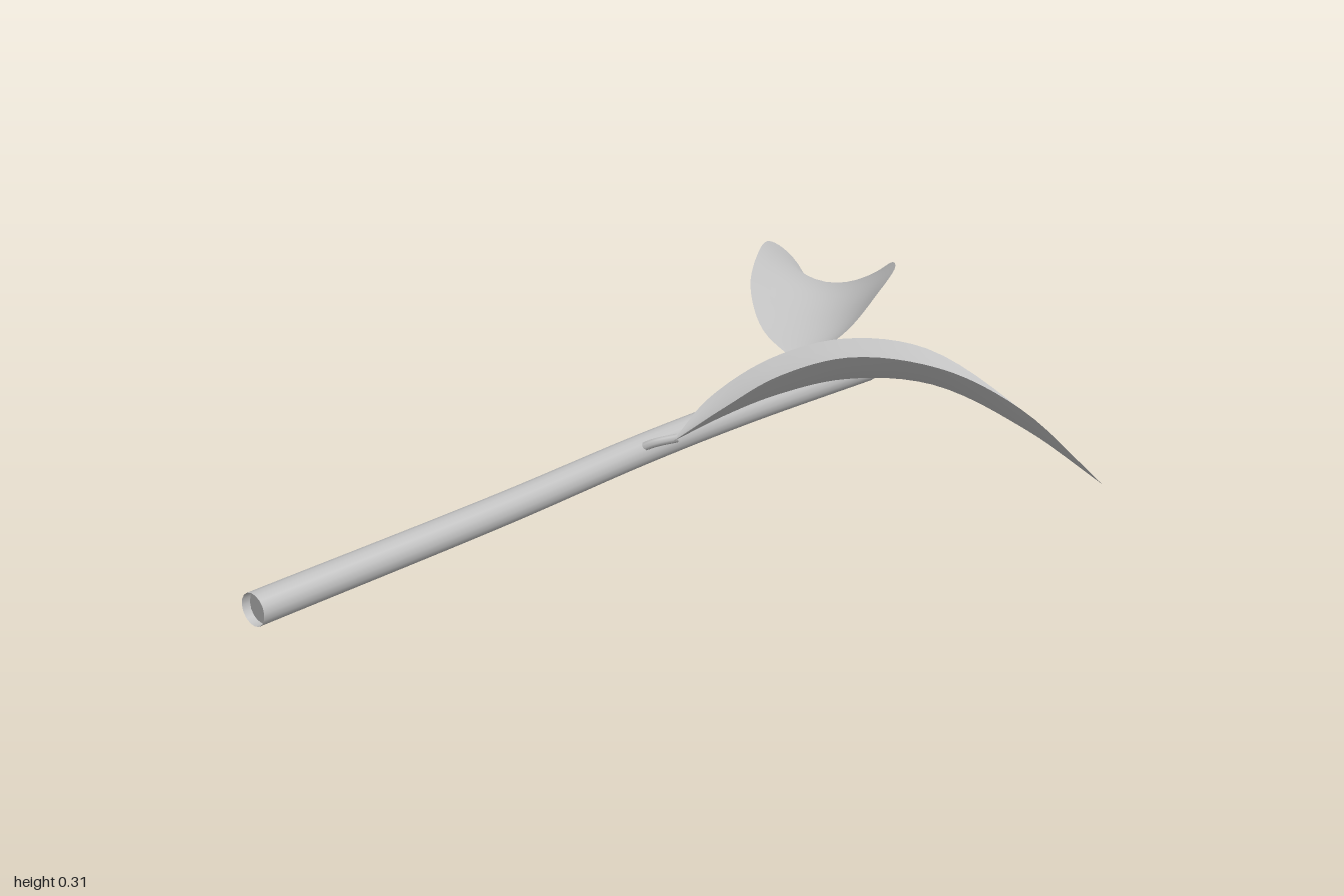
import * as THREE from 'three';

const curve = (pts) => new THREE.CatmullRomCurve3(pts.map((p) => new THREE.Vector3(...p)));

// Leaf blade: lofted across its left edge, midrib and right edge
function bladeGeometry(left, rib, right, along = 36, across = 12) {
  const [L, M, R] = [left, rib, right].map(curve);
  const pos = [], idx = [];
  for (let i = 0; i <= along; i++) {
    const t = i / along;
    const l = L.getPoint(t), m = M.getPoint(t), r = R.getPoint(t);
    for (let j = 0; j <= across; j++) {
      const s = (j / across) * 2 - 1;
      const a = (s * (s - 1)) / 2, b = 1 - s * s, c = (s * (s + 1)) / 2;
      pos.push(l.x * a + m.x * b + r.x * c, l.y * a + m.y * b + r.y * c, l.z * a + m.z * b + r.z * c);
      if (i < along && j < across) {
        const p = i * (across + 1) + j, q = p + across + 1;
        idx.push(p, p + 1, q, p + 1, q + 1, q);
      }
    }
  }
  const g = new THREE.BufferGeometry();
  g.setAttribute('position', new THREE.Float32BufferAttribute(pos, 3));
  g.setIndex(idx);
  g.computeVertexNormals();
  return g;
}

export function createModel() {
  const model = new THREE.Group();
  const grey = new THREE.MeshStandardMaterial({ color: 0xbfbfbf, side: THREE.DoubleSide });
  grey.name = 'plainGrey';
  const add = (name, geometry) => {
    const mesh = new THREE.Mesh(geometry, grey);
    mesh.name = name;
    model.add(mesh);
    return mesh;
  };

  // Gently bent stem with a slightly hollow front end
  const stem = curve([[0.006, 0.071, 1], [0.01, 0.1, 0.5], [0, 0.12, 0.15], [-0.004, 0.13, -0.12], [0, 0.138, -0.475]]);
  add('stem', new THREE.TubeGeometry(stem, 40, 0.027, 16));
  add('stemFrontEnd', new THREE.CircleGeometry(0.0268, 16)).position.set(0.006, 0.072, 0.985);
  const back = add('stemBackEnd', new THREE.CircleGeometry(0.027, 16));
  back.position.set(0, 0.138, -0.475);
  back.rotation.y = Math.PI;

  // Leaf stalks
  const stalk = (name, pts) => add(name, new THREE.TubeGeometry(curve(pts), 10, 0.008, 8));
  stalk('leftStalk', [[0.008, 0.125, 0.18], [0.03, 0.138, 0.16], [0.055, 0.145, 0.125]]);
  stalk('rightStalk', [[-0.012, 0.138, -0.3], [-0.035, 0.155, -0.325], [-0.065, 0.166, -0.348]]);

  // Two arched leaves, each given by left edge, midrib, right edge as seen from above
  const tipA = [0.51, 0.003, -0.52];
  add('leftLeaf', bladeGeometry(
    [[0.05, 0.14, 0.13], [0.02, 0.185, 0], [0.05, 0.235, -0.13], [0.12, 0.26, -0.25], [0.23, 0.24, -0.355], [0.38, 0.13, -0.45], tipA],
    [[0.052, 0.14, 0.135], [0.09, 0.175, 0.05], [0.15, 0.21, -0.03], [0.22, 0.23, -0.13], [0.31, 0.21, -0.26], [0.42, 0.115, -0.4], tipA],
    [[0.055, 0.14, 0.14], [0.15, 0.215, 0.11], [0.24, 0.28, 0.075], [0.32, 0.31, -0.01], [0.4, 0.275, -0.16], [0.46, 0.18, -0.32], tipA],
  ));
  const tipB = [-0.515, 0.02, -1];
  add('rightLeaf', bladeGeometry(
    [[-0.065, 0.16, -0.345], [-0.16, 0.205, -0.355], [-0.25, 0.265, -0.42], [-0.33, 0.308, -0.54], [-0.4, 0.295, -0.66], [-0.46, 0.21, -0.82], tipB],
    [[-0.06, 0.16, -0.342], [-0.09, 0.19, -0.42], [-0.14, 0.215, -0.5], [-0.21, 0.235, -0.6], [-0.31, 0.21, -0.73], [-0.42, 0.12, -0.88], tipB],
    [[-0.055, 0.16, -0.345], [-0.03, 0.21, -0.45], [-0.04, 0.265, -0.56], [-0.08, 0.285, -0.66], [-0.2, 0.255, -0.8], [-0.35, 0.15, -0.9], tipB],
  ));

  return model;
}
